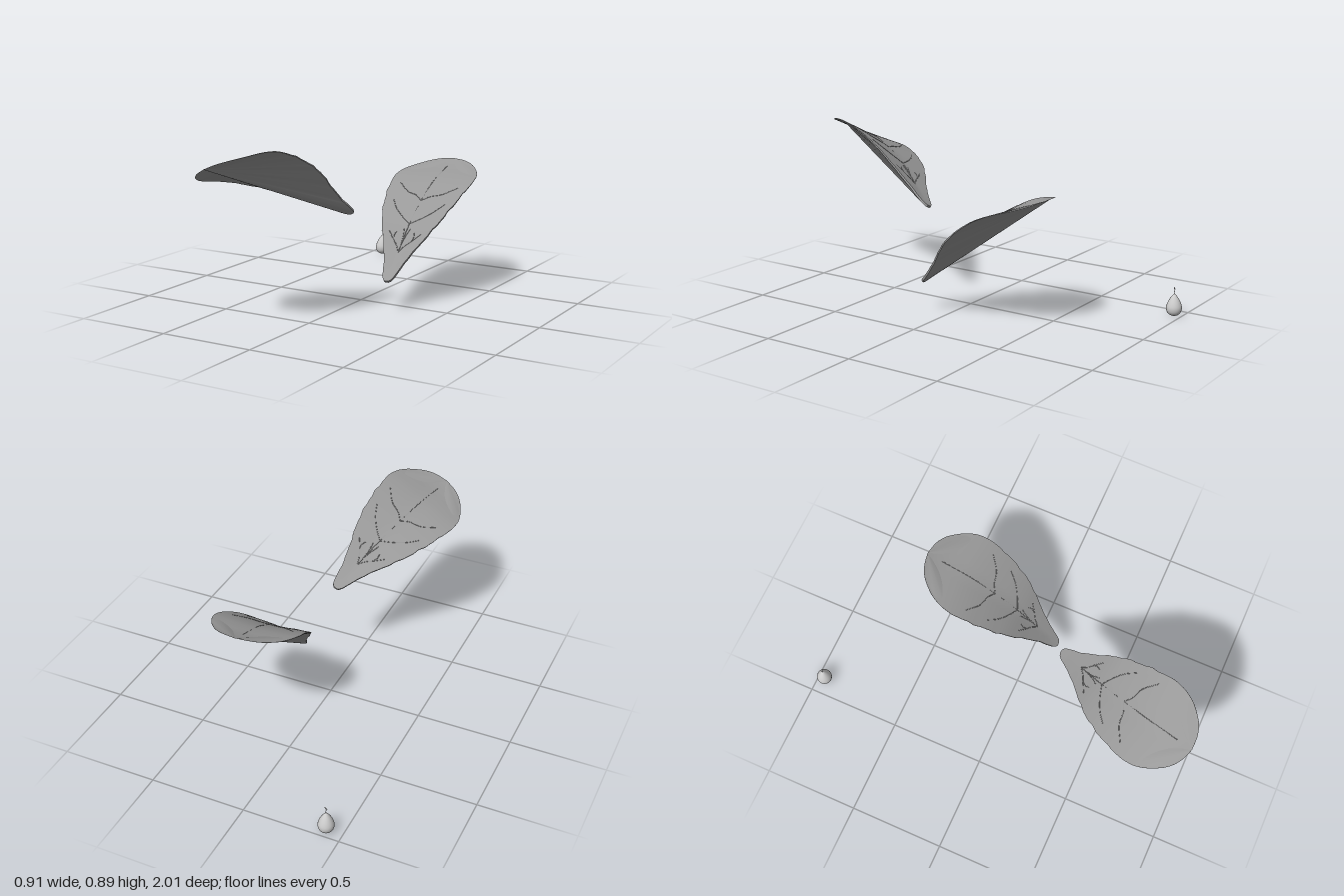
import * as THREE from 'three';
import { toCreasedNormals } from 'three/addons/utils/BufferGeometryUtils.js';

const leafMaterial = new THREE.MeshStandardMaterial({ color: 0x999999, side: THREE.DoubleSide });
const budMaterial = new THREE.MeshStandardMaterial({ color: 0xcccccc, side: THREE.DoubleSide });
const V = (x, y, z) => new THREE.Vector3(x, y, z);
const LENGTH = 0.904;

// Leaf profile from tip to wide end: distance along leaf, half width, arch height
const profile = new THREE.CatmullRomCurve3([
  [0, 0.01, 0], [0.012, 0.024, 0.002], [0.06, 0.042, 0.011], [0.12, 0.06, 0.025],
  [0.2, 0.094, 0.044], [0.35, 0.162, 0.08], [0.48, 0.2, 0.091], [0.6, 0.222, 0.086],
  [0.68, 0.228, 0.072], [0.74, 0.215, 0.053], [0.8, 0.182, 0.03], [0.86, 0.125, 0.011],
  [0.89, 0.07, 0.004], [LENGTH, 0, 0],
].map(p => V(...p)), false, 'centripetal').getSpacedPoints(72);

// Point on the top surface, u from -1 to 1 across; the midrib is slightly sunken
const topPoint = (p, halfWidth, u) =>
  V(u * halfWidth, p.z * (1 - 0.17 * (1 - Math.abs(u))), -p.x);

function profileAt(s) {
  const i = Math.max(1, profile.findIndex(p => p.x >= s));
  const a = profile[i - 1], b = profile[i];
  return a.clone().lerp(b, (s - a.x) / (b.x - a.x));
}

// Closed blade: arched top, thin rim, and an underside fanned from the wide end
function bladeGeometry() {
  const across = 8, rows = profile.length - 1, out = [];
  const tri = (a, b, c) => {
    const area = b.clone().sub(a).cross(c.clone().sub(a)).length();
    if (area > 1e-9) for (const p of [a, b, c]) out.push(p.x, p.y, p.z);
  };
  const quad = (a, b, c, d) => { tri(a, b, c); tri(a, c, d); };
  const top = (i, j) => {
    const u = j / across * 2 - 1, p = profile[i];
    const fade = Math.sin(Math.PI * i / rows) * (p.x < 0.6 ? 1 : 0.3);
    const ripple = 0.0025 * Math.sin(p.x * 52 + Math.sign(u)) + 0.0015 * Math.sin(p.x * 97);
    return topPoint(p, p.y + fade * ripple, u);
  };
  const low = (i, j) => {
    const p = top(i, j);
    p.y -= 0.012 * (1 - profile[i].x / LENGTH);
    return p;
  };
  const apex = low(rows, across / 2);
  for (let i = 0; i < rows; i++) {
    for (let j = 0; j < across; j++) {
      quad(top(i, j), top(i, j + 1), top(i + 1, j + 1), top(i + 1, j));
    }
    quad(low(i, across), low(i + 1, across), top(i + 1, across), top(i, across));
    quad(low(i + 1, 0), low(i, 0), top(i, 0), top(i + 1, 0));
    tri(apex, low(i + 1, across), low(i, across));
    tri(apex, low(i, 0), low(i + 1, 0));
  }
  tri(apex, low(0, across), low(0, 0));
  quad(low(0, 0), low(0, across), top(0, across), top(0, 0));
  const g = new THREE.BufferGeometry();
  g.setAttribute('position', new THREE.Float32BufferAttribute(out, 3));
  return toCreasedNormals(g, 0.5);
}

// Thin vein lying on the top surface, points given as [across, along]
function vein(points, radius = 0.002) {
  const path = new THREE.CatmullRomCurve3(points.map(([x, s]) => {
    const p = profileAt(s);
    return topPoint(p, p.y, x / p.y);
  }));
  const mesh = new THREE.Mesh(new THREE.TubeGeometry(path, 20, radius, 5), leafMaterial);
  mesh.name = 'vein';
  return mesh;
}

function createLeaf(name, tip, width, axis) {
  const leaf = new THREE.Group();
  leaf.name = name;
  const blade = new THREE.Mesh(bladeGeometry(), leafMaterial);
  blade.name = 'leafBlade';
  leaf.add(blade);
  leaf.add(vein([[0, 0.5], [0, 0.65], [0, 0.82]]));
  leaf.add(vein([[0, 0.17], [0, 0.32], [0, 0.46]]));
  const sideVeins = [
    [[0, 0.5], [0.04, 0.53], [0.1, 0.55], [0.17, 0.61]],
    [[0, 0.34], [0.06, 0.38], [0.11, 0.425], [0.15, 0.48]],
    [[0, 0.17], [0.025, 0.21], [0.05, 0.235], [0.09, 0.28]],
    [[0.05, 0.235], [0.056, 0.26], [0.05, 0.285]],
    [[0, 0.22], [0.008, 0.27], [0.018, 0.31]],
  ];
  for (const side of [-1, 1]) {
    for (const pts of sideVeins) leaf.add(vein(pts.map(([x, s]) => [x * side, s])));
  }
  // Orient the blade: x across, y out of the top, -z toward the wide end
  const a = axis.clone().normalize();
  const n = width.clone().cross(a).normalize();
  const w = a.clone().cross(n);
  leaf.quaternion.setFromRotationMatrix(new THREE.Matrix4().makeBasis(w, n, a.negate()));
  leaf.position.copy(tip);
  return leaf;
}

// Drop-shaped bud with a fine forked stem
function createBud() {
  const bud = new THREE.Group();
  bud.name = 'bud';
  const outline = new THREE.SplineCurve([
    [0, 0], [0.02, 0.005], [0.035, 0.02], [0.04, 0.042], [0.035, 0.064],
    [0.024, 0.087], [0.011, 0.106], [0.003, 0.114], [0, 0.117],
  ].map(p => new THREE.Vector2(...p))).getPoints(32);
  outline.forEach(p => { p.x = Math.max(0, p.x); });
  const body = new THREE.Mesh(new THREE.LatheGeometry(outline, 32), budMaterial);
  body.name = 'budBody';
  bud.add(body);
  const twigs = [
    [V(0, 0.11, 0), V(0.001, 0.125, 0), V(-0.001, 0.136, 0.001), V(0.002, 0.15, 0)],
    [V(0, 0.128, 0), V(-0.004, 0.136, 0), V(-0.008, 0.142, 0)],
    [V(0, 0.136, 0), V(0.005, 0.144, 0), V(0.006, 0.149, 0)],
  ];
  twigs.forEach((pts, i) => {
    const path = new THREE.CatmullRomCurve3(pts);
    const twig = new THREE.Mesh(new THREE.TubeGeometry(path, 10, i ? 0.0008 : 0.0014, 6), budMaterial);
    twig.name = i ? 'stemFork' : 'stem';
    bud.add(twig);
  });
  bud.position.set(-0.417, 0, -0.96);
  return bud;
}

export function createModel() {
  const model = new THREE.Group();
  model.name = 'leavesAndBud';
  model.add(
    createLeaf('backLeaf', V(0.228, 0.162, 0.14), V(1, 0, 0), V(0, 0.518, -0.74)),
    createLeaf('frontLeaf', V(0.073, 0.512, 0.21), V(-0.905, -0.4, -0.16), V(-0.307, 0.3, 0.79)),
    createBud(),
  );
  return model;
}
